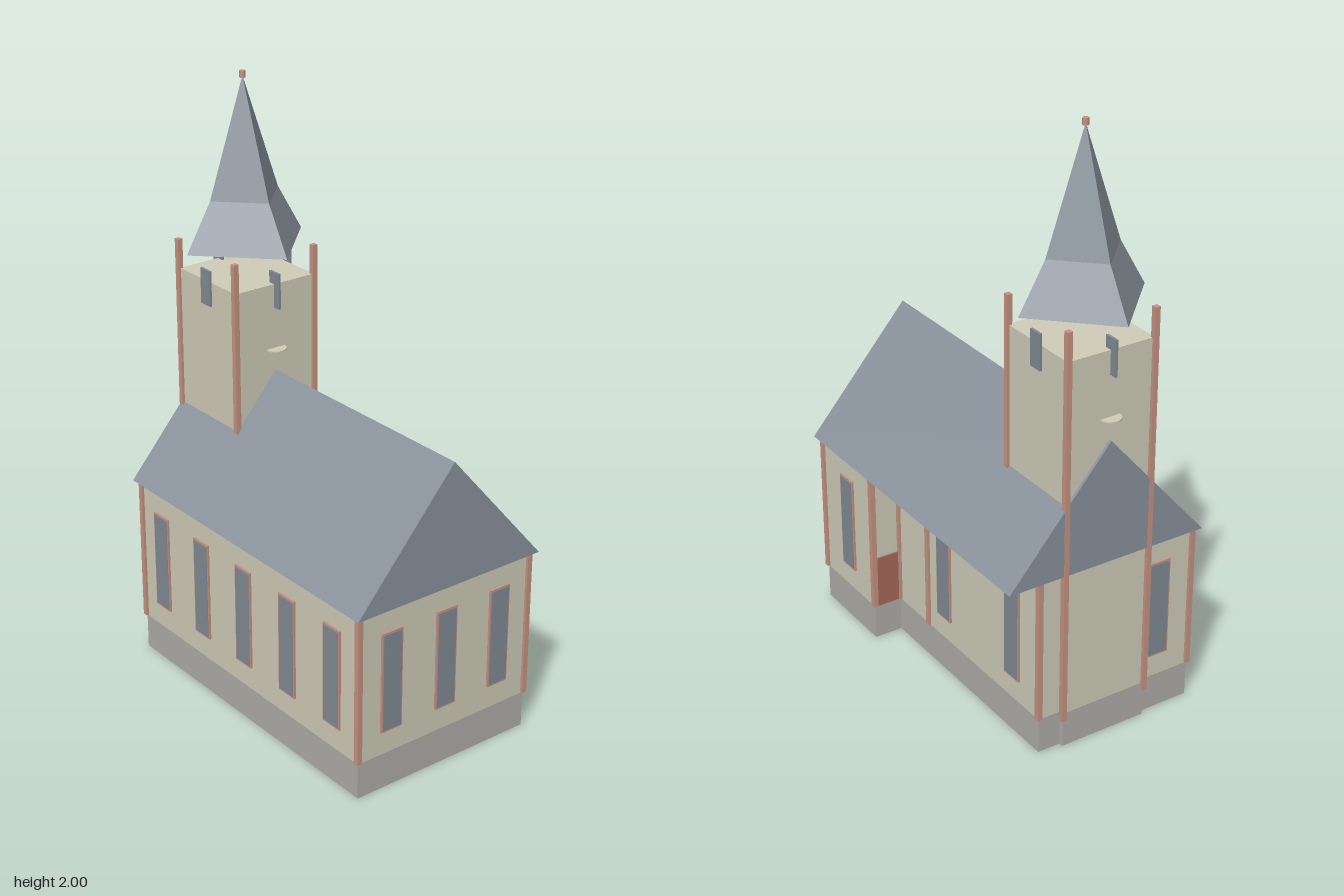
import * as THREE from 'three';

const mat = (name, color) => {
  const m = new THREE.MeshStandardMaterial({ color });
  m.name = name;
  return m;
};

export function createModel() {
  const model = new THREE.Group();
  model.name = 'church';
  const plaster = mat('plaster', 0xd0cdb9);
  const stone = mat('stone', 0xb0aea9);
  const slate = mat('slate', 0x8a939c);
  const copper = mat('copper', 0xc69582);
  const glass = mat('glass', 0x838b94);
  const doorRed = mat('door red', 0xa86a58);

  const add = (name, geometry, material, x = 0, y = 0, z = 0, parent = model) => {
    const mesh = new THREE.Mesh(geometry, material);
    mesh.name = name;
    mesh.position.set(x, y, z);
    parent.add(mesh);
    return mesh;
  };
  // box given by its limits
  const block = (name, material, x0, x1, y0, y1, z0, z1) =>
    add(name, new THREE.BoxGeometry(x1 - x0, y1 - y0, z1 - z0), material,
      (x0 + x1) / 2, (y0 + y1) / 2, (z0 + z1) / 2);

  // nave footprint, stepped back along part of the rear side
  const left = 0.61, right = -0.545, front = 0.34, back = -0.335, niche = -0.235, stepX = 0.29;
  const plan = new THREE.Shape([
    [right, -front], [left, -front], [left, -back], [stepX, -back], [stepX, -niche], [right, -niche],
  ].map(([x, y]) => new THREE.Vector2(x, y)));
  const storey = (name, material, y0, y1) => {
    const g = new THREE.ExtrudeGeometry(plan, { depth: y1 - y0, bevelEnabled: false });
    g.rotateX(-Math.PI / 2);
    add(name, g, material, 0, y0, 0);
  };
  storey('plinth', stone, 0, 0.122);
  storey('naveWalls', plaster, 0.122, 0.632);

  // gabled roof as a solid prism
  const gable = new THREE.Shape([
    new THREE.Vector2(-0.36, 0.63), new THREE.Vector2(0.36, 0.63), new THREE.Vector2(0, 1.045),
  ]);
  const roof = new THREE.ExtrudeGeometry(gable, { depth: 1.2, bevelEnabled: false });
  roof.rotateY(Math.PI / 2);
  add('naveRoof', roof, slate, -0.57, 0, 0);

  // rain pipes on the nave
  const pipe = (x, z, y0, y1, name) =>
    block(name, copper, x - 0.009, x + 0.009, y0, y1, z - 0.009, z + 0.009);
  [[left, front], [left, back], [right, front], [right, niche],
    [stepX, back], [stepX - 0.005, niche], [0.1, niche]]
    .forEach(([x, z]) => pipe(x, z, 0.125, 0.63, 'navePipe'));

  // tall windows: thin frame plate with a pane over it
  const tallWindow = (x, z, turn) => {
    const g = new THREE.Group();
    g.name = 'tallWindow';
    g.position.set(x, 0.375, z);
    g.rotation.y = turn;
    add('windowFrame', new THREE.BoxGeometry(0.08, 0.345, 0.008), copper, 0, 0, 0.003, g);
    add('windowPane', new THREE.BoxGeometry(0.07, 0.333, 0.008), glass, 0, 0, 0.005, g);
    model.add(g);
  };
  [-0.43, -0.2, 0.03, 0.26, 0.485].forEach((x) => tallWindow(x, front, 0));
  [-0.215, 0, 0.215].forEach((z) => tallWindow(left, z, Math.PI / 2));
  tallWindow(0.45, back, Math.PI);
  [0, -0.4].forEach((x) => tallWindow(x, niche, Math.PI));
  tallWindow(right, 0.215, -Math.PI / 2);

  // side door in the rear step
  block('door', doorRed, stepX - 0.006, stepX + 0.002, 0.125, 0.31, -0.325, -0.24);

  // tower
  const tx = -0.405, half = 0.155;
  block('towerPlinth', stone, tx - half, -0.5, 0, 0.122, -half, half);
  block('towerLowerWall', plaster, tx - half, -0.5, 0.122, 0.66, -half, half);
  block('towerShaft', plaster, tx - half, tx + half, 0.65, 1.34, -half, half);
  for (const s of [-1, 1]) {
    pipe(tx - half - 0.002, s * half, 0.1, 1.44, 'towerPipe');
    pipe(tx + half - 0.001, s * half, 0.86, 1.44, 'towerPipe');
    // belfry louvres on all four sides
    add('belfryLouvre', new THREE.BoxGeometry(0.05, 0.12, 0.008), glass, tx, 1.32, s * (half + 0.004));
    add('belfryLouvre', new THREE.BoxGeometry(0.05, 0.12, 0.008), glass, tx + s * half, 1.32, 0);
    // flat discs set into the sides
    add('dial', new THREE.CylinderGeometry(0.036, 0.036, 0.004, 20), plaster, tx + s * half, 1.12, 0);
  }

  // four-sided spire with flared eaves
  const sx = -0.41;
  add('spireFlare', new THREE.CylinderGeometry(0.133, 0.226, 0.16, 4).toNonIndexed(), slate, sx, 1.52, 0);
  add('spire', new THREE.ConeGeometry(0.133, 0.385, 4).toNonIndexed(), slate, sx, 1.7925, 0);
  model.children.filter((m) => m.name.startsWith('spire'))
    .forEach((m) => m.geometry.computeVertexNormals());
  add('finial', new THREE.CylinderGeometry(0.01, 0.01, 0.022, 10), copper, sx, 1.989, 0);

  return model;
}
